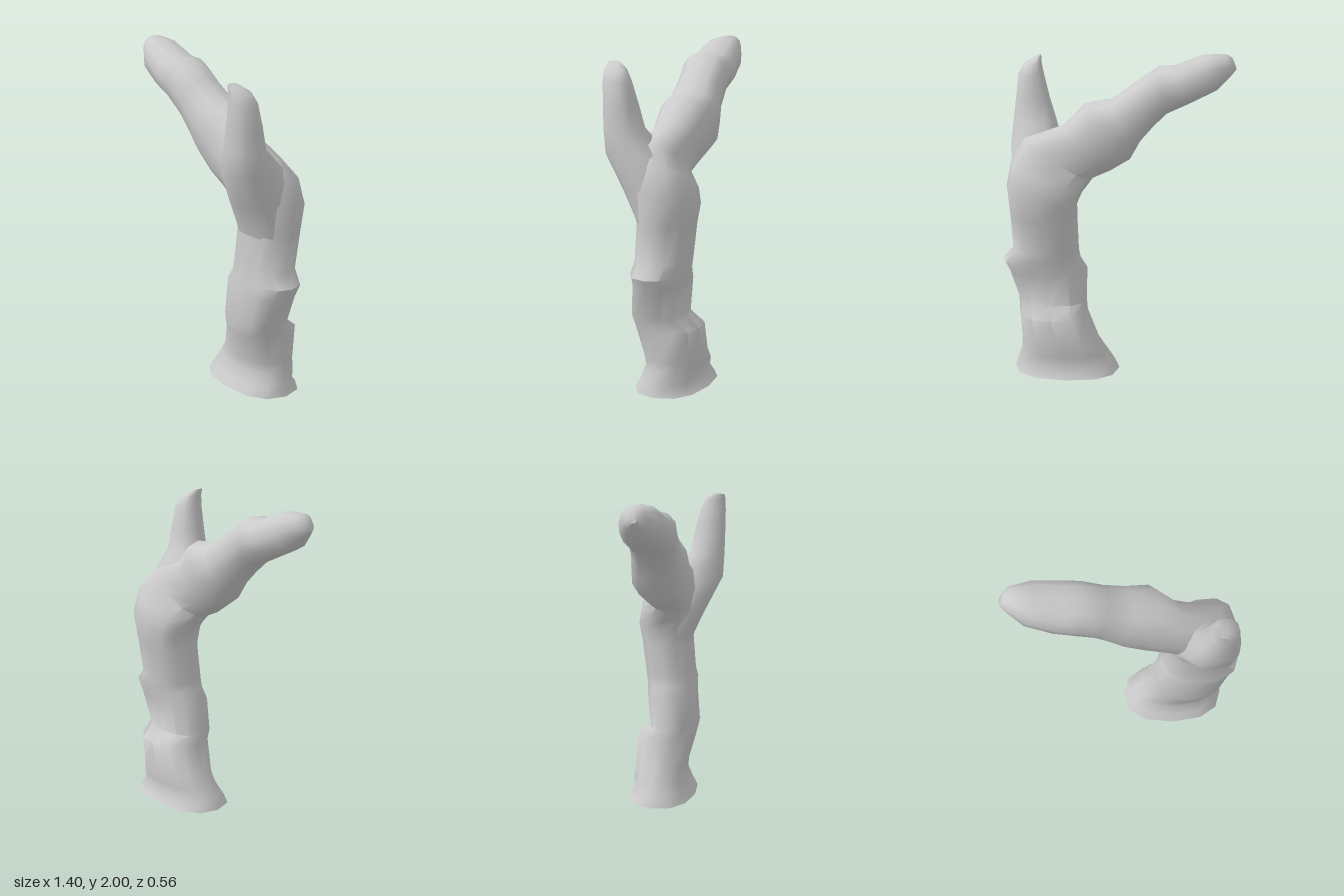
import * as THREE from 'three';
import { toCreasedNormals } from 'three/addons/utils/BufferGeometryUtils.js';

const SIDES = 12;

// Slightly squared circle coordinate
const squared = (v) => Math.sign(v) * Math.abs(v) ** 0.84;

// Lofts sections [xRight, yRight, xLeft, yLeft, zBack, zFront]; open at the base, closed at the tip.
function limb(name, sections) {
  const pos = [], idx = [];
  const centre = ([x1, y1, x2, y2, zb, zf]) => [(x1 + x2) / 2, (y1 + y2) / 2, (zb + zf) / 2];
  sections.forEach((s) => {
    const [cx, cy, cz] = centre(s);
    for (let i = 0; i < SIDES; i++) {
      const a = (i / SIDES) * Math.PI * 2, c = squared(Math.cos(a));
      pos.push(cx + c * (s[0] - cx), cy + c * (s[1] - cy), cz + squared(Math.sin(a)) * (s[5] - cz));
    }
  });
  const last = sections.length - 1;
  const tip = pos.length / 3;
  pos.push(...centre(sections[last]));
  for (let i = 0; i < SIDES; i++) {
    const j = (i + 1) % SIDES;
    for (let r = 0; r < last; r++) {
      const a = r * SIDES + i, b = r * SIDES + j;
      idx.push(a, a + SIDES, b, b, a + SIDES, b + SIDES);
    }
    idx.push(tip, last * SIDES + j, last * SIDES + i);
  }
  const geo = new THREE.BufferGeometry();
  geo.setAttribute('position', new THREE.Float32BufferAttribute(pos, 3));
  geo.setIndex(idx);
  const mesh = new THREE.Mesh(
    toCreasedNormals(geo, 1.05),
    new THREE.MeshStandardMaterial({ color: 0xcccccc, side: THREE.DoubleSide })
  );
  mesh.name = name;
  return mesh;
}

export function createModel() {
  const group = new THREE.Group();
  group.name = 'deadTree';

  // Flared, knotted trunk that bends over into the long branch
  group.add(limb('trunkAndLongBranch', [
    [0.635, 0, -0.02, 0, -0.275, 0.145],
    [0.615, 0.06, 0.01, 0.06, -0.225, 0.11],
    [0.59, 0.14, 0.05, 0.13, -0.245, 0.08],
    [0.585, 0.2, 0.1, 0.2, -0.24, 0.085],
    [0.6, 0.38, 0.175, 0.38, -0.25, 0.13],
    [0.61, 0.45, 0.187, 0.44, -0.16, 0.145],
    [0.665, 0.64, 0.18, 0.66, -0.18, 0.12],
    [0.7, 0.715, 0.22, 0.73, -0.19, 0.115],
    [0.635, 0.79, 0.23, 0.78, -0.195, 0.11],
    [0.645, 1.02, 0.235, 1.0, -0.225, 0.09],
    [0.66, 1.2, 0.235, 1.09, -0.25, 0.1],
    [0.63, 1.36, 0.21, 1.15, -0.225, 0.12],
    [0.56, 1.47, 0.145, 1.23, -0.14, 0.13],
    [0.32, 1.56, 0.04, 1.28, -0.15, 0.13],
    [0.19, 1.7, -0.08, 1.36, -0.2, 0.14],
    [0.04, 1.72, -0.14, 1.47, -0.18, 0.14],
    [-0.1, 1.82, -0.21, 1.55, -0.15, 0.14],
    [-0.24, 1.92, -0.3, 1.64, -0.14, 0.16],
    [-0.33, 1.92, -0.44, 1.71, -0.14, 0.16],
    [-0.5, 1.99, -0.59, 1.785, -0.115, 0.135],
    [-0.635, 2.0, -0.66, 1.86, -0.07, 0.075],
    [-0.67, 1.98, -0.7, 1.91, -0.025, 0.04],
  ]));

  // Upright branch that swells smoothly out of the front of the trunk
  group.add(limb('uprightBranch', [
    [0.62, 0.95, 0.26, 0.95, -0.17, 0.075],
    [0.63, 1.05, 0.255, 1.05, -0.17, 0.105],
    [0.635, 1.2, 0.275, 1.2, -0.16, 0.175],
    [0.65, 1.41, 0.335, 1.4, -0.08, 0.275],
    [0.64, 1.55, 0.38, 1.55, 0.06, 0.278],
    [0.625, 1.68, 0.42, 1.68, 0.085, 0.28],
    [0.61, 1.82, 0.455, 1.82, 0.12, 0.28],
    [0.575, 1.88, 0.47, 1.89, 0.15, 0.28],
    [0.53, 1.905, 0.475, 1.93, 0.2, 0.28],
  ]));
  return group;
}
